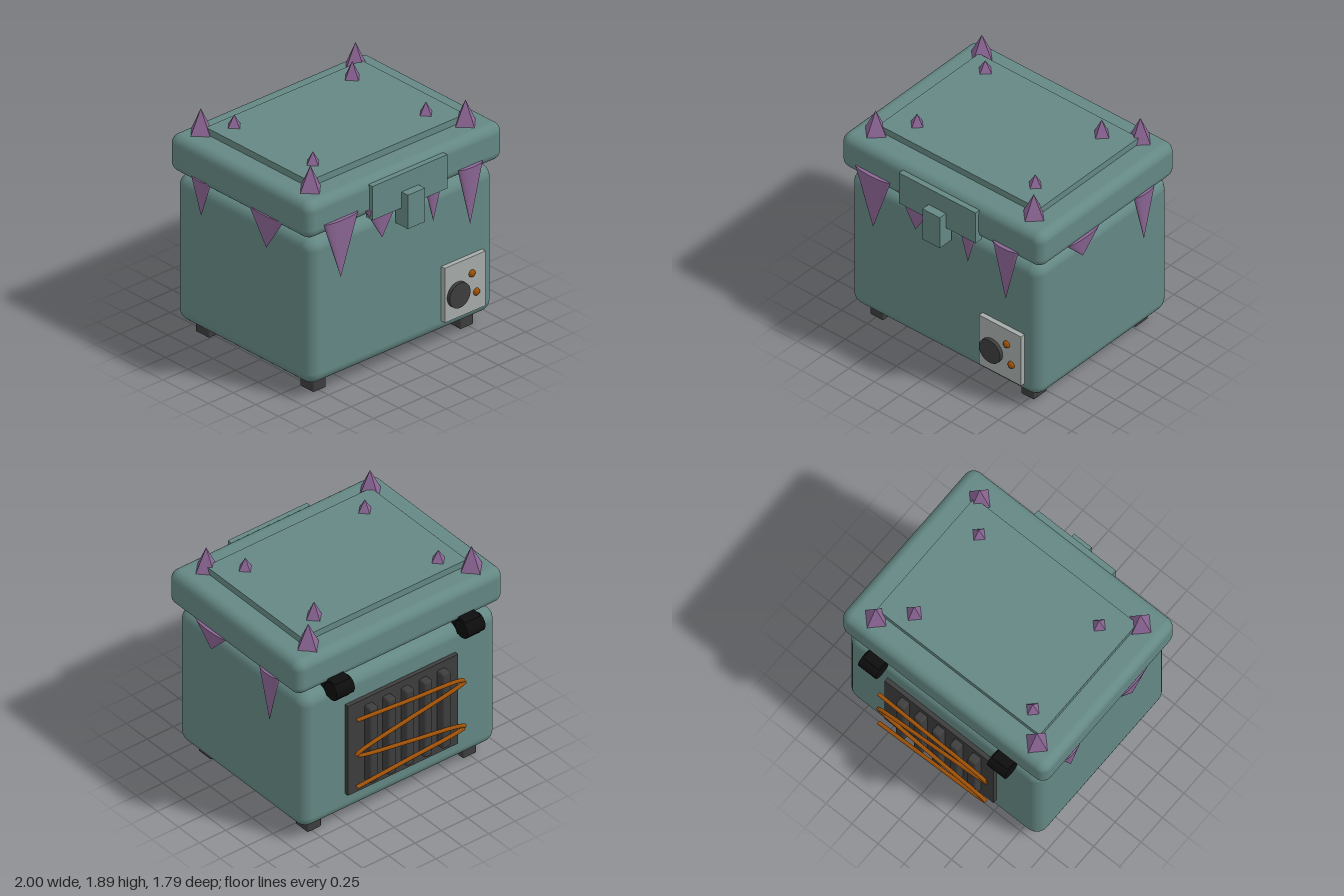
import * as THREE from 'three';
import { RoundedBoxGeometry } from 'three/addons/geometries/RoundedBoxGeometry.js';

const mat = (name, color, flat = false) => {
  const m = new THREE.MeshStandardMaterial({ color, flatShading: flat });
  m.name = name;
  return m;
};

export function createModel() {
  const root = new THREE.Group();
  root.name = 'chestCooler';
  const teal = mat('teal', 0x648884);
  const purple = mat('purple', 0x8d6796);
  const dark = mat('darkGrey', 0x3d3d3d);
  const black = mat('black', 0x0d0d0d);
  const copper = mat('copper', 0x9c5008);
  const grey = mat('lightGrey', 0xa5acaa);

  const add = (name, geo, material, x = 0, y = 0, z = 0) => {
    const m = new THREE.Mesh(geo, material);
    m.name = name;
    m.position.set(x, y, z);
    root.add(m);
    return m;
  };
  // Box given by its limits on each axis, optionally with rounded edges
  const box = (name, material, [x0, x1], [y0, y1], [z0, z1], r = 0) => {
    const s = [x1 - x0, y1 - y0, z1 - z0];
    const geo = r ? new RoundedBoxGeometry(...s, 4, r) : new THREE.BoxGeometry(...s);
    return add(name, geo, material, (x0 + x1) / 2, (y0 + y1) / 2, (z0 + z1) / 2);
  };

  // Body, seal and lid
  box('body', teal, [-0.93, 0.92], [0.11, 1.34], [-0.755, 0.75], 0.1);
  box('seal', teal, [-0.81, 0.81], [1.3, 1.42], [-0.62, 0.6]);
  box('innerLip', purple, [-0.4, 0.4], [1.345, 1.375], [0.58, 0.64]);
  box('lid', teal, [-0.99, 0.98], [1.38, 1.69], [-0.765, 0.79], 0.08);
  box('lidPanel', teal, [-0.785, 0.78], [1.66, 1.745], [-0.565, 0.575]);

  // Feet
  for (const x of [-0.745, 0.73])
    for (const z of [-0.58, 0.575])
      box('foot', dark, [x - 0.065, x + 0.065], [0, 0.14], [z - 0.075, z + 0.075], 0.012);

  // Latch
  box('latchPlate', teal, [-0.375, 0.375], [1.365, 1.65], [0.75, 0.825]);
  box('latch', teal, [-0.085, 0.085], [1.215, 1.5], [0.76, 0.895]);

  // Control panel with dial and buttons
  box('controlPanel', grey, [0.38, 0.79], [0.215, 0.675], [0.72, 0.79]);
  const dial = new THREE.CylinderGeometry(0.104, 0.104, 0.06, 32).rotateX(Math.PI / 2);
  add('dial', dial, dark, 0.507, 0.413, 0.79);
  for (const [x, y] of [[0.65, 0.537], [0.695, 0.367]])
    add('button', new THREE.SphereGeometry(0.032, 10, 8), copper, x, y, 0.785);

  // Hinges
  for (const x of [-0.625, 0.615]) {
    box('hingeBlock', black, [x - 0.075, x + 0.075], [1.27, 1.44], [-0.84, -0.67], 0.01);
    const pin = new THREE.CylinderGeometry(0.075, 0.075, 0.17, 16).rotateZ(Math.PI / 2);
    add('hingePin', pin, black, x, 1.355, -0.81);
  }

  // Rear grille, fins and coil
  box('grille', dark, [-0.525, 0.52], [0.295, 1.12], [-0.79, -0.74]);
  for (let i = 0; i < 5; i++) {
    const x = -0.365 + i * 0.172;
    box('fin', dark, [x - 0.04, x + 0.04], [0.365, 1.06], [-0.86, -0.77], 0.02);
  }
  const path = [[0.51, 1.035], [0, 0.99], [-0.47, 0.95], [-0.53, 0.925], [-0.47, 0.9],
    [0, 0.82], [0.45, 0.74], [0.51, 0.715], [0.45, 0.69], [0, 0.61],
    [-0.47, 0.53], [-0.53, 0.505], [-0.47, 0.485], [0, 0.45], [0.51, 0.415]];
  const curve = new THREE.CatmullRomCurve3(path.map(([x, y]) => new THREE.Vector3(x, y, -0.875)));
  add('coil', new THREE.TubeGeometry(curve, 120, 0.016, 8), copper);

  // Hanging fangs: flattened cones [centre along face, half width, top, tip]
  const fang = (half, top, tip) =>
    new THREE.ConeGeometry(1, 1, 32).rotateX(Math.PI).scale(half, top - tip, 0.036)
      .translate(0, (top + tip) / 2, 0);
  const front = [[-0.66, 0.172, 1.475, 0.975], [-0.245, 0.17, 1.44, 1.16],
    [0.267, 0.09, 1.45, 1.115], [0.637, 0.122, 1.45, 0.955]];
  for (const [x, ...s] of front) add('frontFang', fang(...s), purple, x, 0, 0.787);
  const sides = [[0.962, 0.285, 0.187, 1.425, 1.23], [0.962, -0.41, 0.114, 1.43, 0.98],
    [-0.964, 0.3, 0.19, 1.43, 1.14], [-0.964, -0.42, 0.105, 1.43, 1.12]];
  for (const [x, z, ...s] of sides)
    add('sideFang', fang(...s).rotateY(Math.PI / 2), purple, x, 0, z);

  // Four-sided spikes on the lid [x, z, radius, base, tip]
  const spikeMat = purple.clone();
  spikeMat.name = 'spikePurple';
  spikeMat.flatShading = true;
  const spikes = [[-0.795, -0.61, 0.112, 1.67, 1.89], [0.755, -0.61, 0.11, 1.67, 1.89],
    [-0.795, 0.6, 0.112, 1.67, 1.89], [0.755, 0.605, 0.11, 1.67, 1.89],
    [-0.615, -0.44, 0.068, 1.735, 1.84], [0.545, -0.415, 0.077, 1.735, 1.885],
    [-0.575, 0.385, 0.066, 1.735, 1.845], [0.57, 0.372, 0.066, 1.735, 1.845]];
  for (const [x, z, r, base, tip] of spikes)
    add('lidSpike', new THREE.ConeGeometry(r, tip - base, 4), spikeMat, x, (base + tip) / 2, z);

  return root;
}
